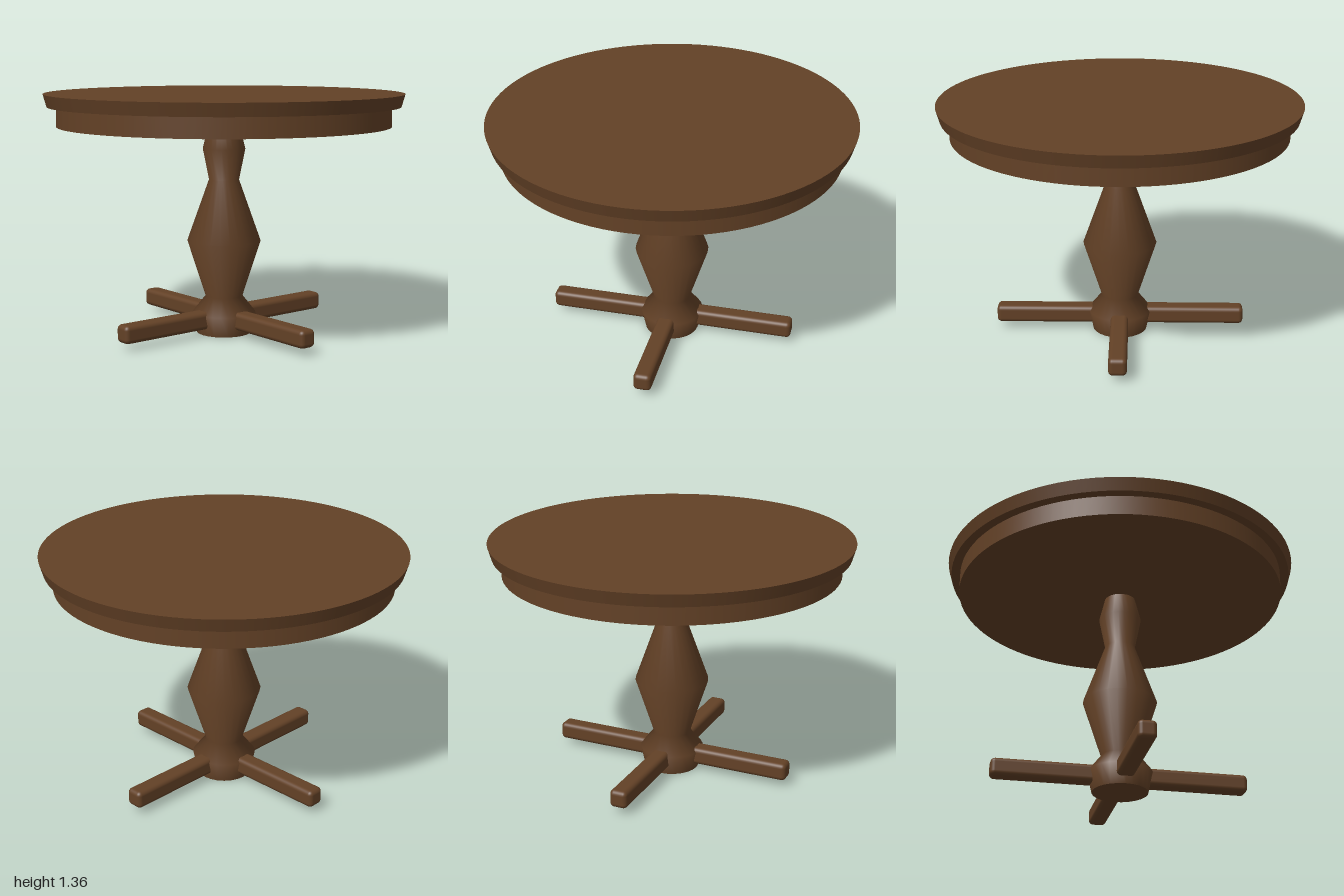
import * as THREE from 'three';
import { RoundedBoxGeometry } from 'three/addons/geometries/RoundedBoxGeometry.js';

const wood = new THREE.MeshStandardMaterial({ color: 0x634126 });
wood.name = 'brown wood';

function part(name, geometry, parent) {
  const mesh = new THREE.Mesh(geometry, wood);
  mesh.name = name;
  parent.add(mesh);
  return mesh;
}

export function createModel() {
  const table = new THREE.Group();
  table.name = 'pedestalTable';

  // Round top with a slanted rim, and the narrower apron beneath it
  part('tableTop', new THREE.CylinderGeometry(1, 0.98, 0.07, 96), table).position.y = 1.325;
  part('apron', new THREE.CylinderGeometry(0.93, 0.93, 0.115, 96), table).position.y = 1.2375;

  // Turned pedestal: radius and height of each ring, with a closed foot
  const profile = [
    [0.155, 0], [0.18, 0.115], [0.105, 0.21], [0.208, 0.53],
    [0.085, 0.875], [0.12, 1.05], [0.088, 1.18],
  ].map(([r, y]) => new THREE.Vector2(r, y));
  part('pedestal', new THREE.LatheGeometry(profile, 24), table);
  const footCap = part('pedestalBase', new THREE.CircleGeometry(0.155, 24), table);
  footCap.rotation.x = Math.PI / 2;

  // Four rounded feet on the diagonals
  const length = 0.66;
  for (let i = 0; i < 4; i++) {
    const foot = new THREE.Group();
    foot.name = 'foot' + (i + 1);
    foot.rotation.y = Math.PI / 4 + (i * Math.PI) / 2;
    const bar = part('footBar', new RoundedBoxGeometry(length, 0.1, 0.1, 3, 0.025), foot);
    bar.position.set(0.71 - length / 2, 0.09, 0);
    table.add(foot);
  }

  return table;
}
